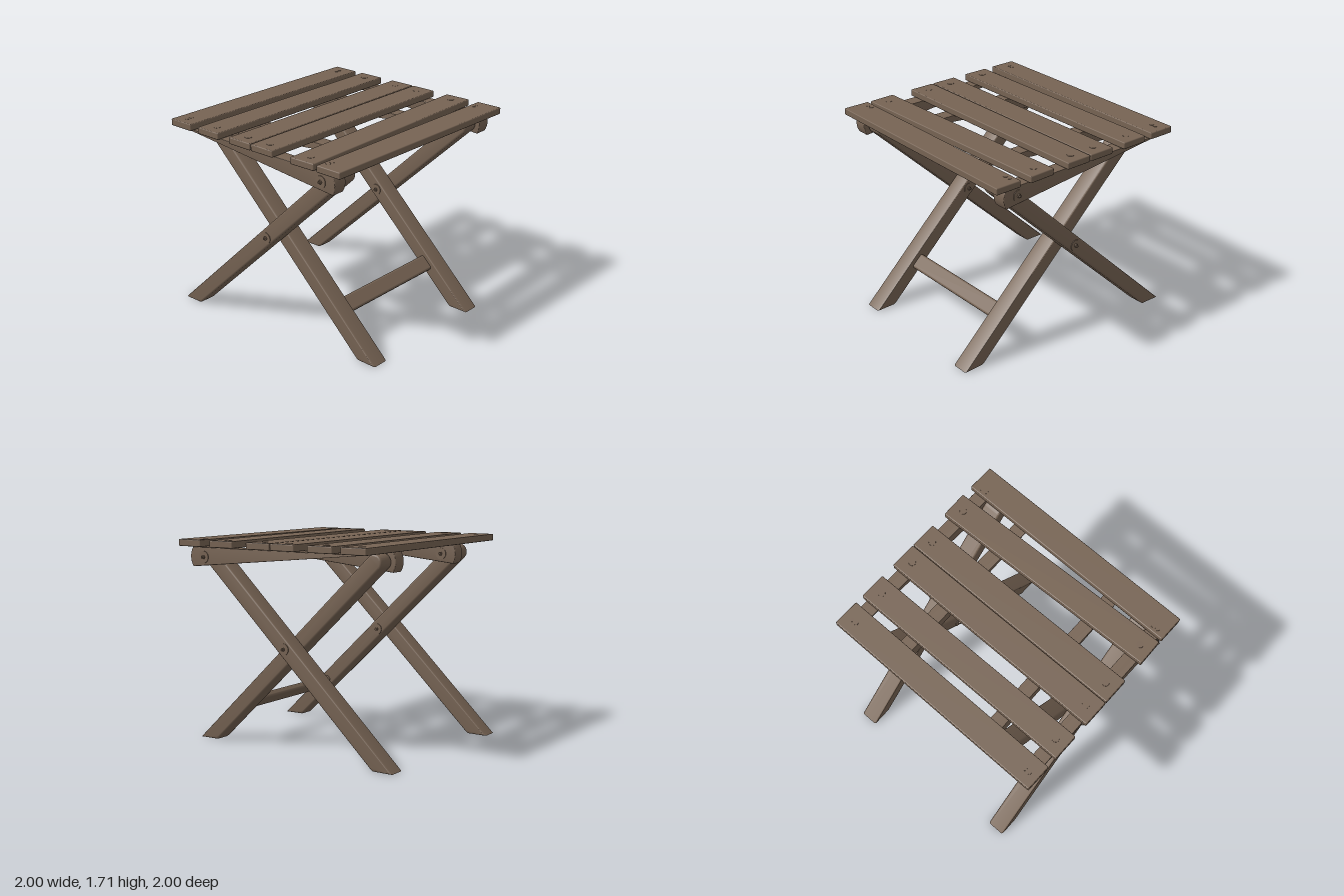
import * as THREE from 'three';
import { toCreasedNormals } from 'three/addons/utils/BufferGeometryUtils.js';
import { RoundedBoxGeometry } from 'three/addons/geometries/RoundedBoxGeometry.js';

const wood = new THREE.MeshStandardMaterial({ color: 0x766353 });
wood.name = 'brown wood';

// Side profile drawn in (z, y), extruded along x with softened edges
function extrudeSide(shape, width, bevel) {
  const geo = new THREE.ExtrudeGeometry(shape, {
    depth: width - 2 * bevel, bevelEnabled: true, bevelSize: bevel, bevelThickness: bevel,
    bevelOffset: -bevel, bevelSegments: 3, curveSegments: 16,
  });
  geo.translate(0, 0, bevel - width / 2);
  geo.rotateY(-Math.PI / 2);
  return toCreasedNormals(geo, 0.6);
}

function add(parent, name, geo, x = 0, y = 0, z = 0) {
  const mesh = new THREE.Mesh(geo, wood);
  mesh.name = name;
  mesh.position.set(x, y, z);
  parent.add(mesh);
  return mesh;
}

// Leg: leaning bar cut flat at the floor and rounded at the top
const SLOPE = 0.955, CROSS_Y = 0.87;
const LEAN = Math.atan(SLOPE);
function legGeometry() {
  const r = 0.067, topZ = 0.735, topY = CROSS_Y + topZ * SLOPE;
  const half = r / Math.sin(LEAN), footZ = -CROSS_Y / SLOPE;
  const s = new THREE.Shape();
  s.moveTo(footZ - half + 0.006, 0.004);
  s.lineTo(footZ + half - 0.014, 0.004);
  s.lineTo(footZ + half + 0.008, 0.021);
  s.absarc(topZ, topY, r, LEAN - Math.PI / 2, LEAN + Math.PI / 2, false);
  s.closePath();
  return extrudeSide(s, 0.154, 0.016);
}

// Seat rail: square at one end, bowed around the pivot at the other
const PIVOT_Z = 0.7, PIVOT_Y = 1.57;
function railGeometry() {
  const h = 0.08, r = 0.138, a = Math.asin(h / r);
  const s = new THREE.Shape();
  s.moveTo(-0.825, PIVOT_Y - h);
  s.absarc(PIVOT_Z, PIVOT_Y, r, -a, a, false);
  s.lineTo(-0.825, PIVOT_Y + h);
  s.closePath();
  return extrudeSide(s, 0.118, 0.006);
}

// Pivot bolt: thin washer and small hub, facing along x
function addBolt(parent, x, y, z, dir) {
  const bolt = new THREE.Group();
  bolt.name = 'pivotBolt';
  add(bolt, 'washer', new THREE.CylinderGeometry(0.048, 0.048, 0.006, 24), 0, 0.002, 0);
  add(bolt, 'nut', new THREE.CylinderGeometry(0.016, 0.016, 0.014, 6), 0, 0.01, 0);
  add(bolt, 'boltEnd', new THREE.CylinderGeometry(0.008, 0.008, 0.028, 10), 0, 0.014, 0);
  bolt.rotation.z = -dir * Math.PI / 2;
  bolt.position.set(x, y, z);
  parent.add(bolt);
}

export function createModel() {
  const stool = new THREE.Group();
  stool.name = 'foldingStool';
  const leg = legGeometry(), rail = railGeometry();

  // Crossed legs, rails and bolts on both sides
  for (const s of [-1, 1]) {
    add(stool, 'outerLeg', leg, s * 0.761);
    add(stool, 'innerLeg', leg, s * 0.606).rotation.y = Math.PI;
    add(stool, 'outerRail', rail, s * 0.898);
    add(stool, 'innerRail', rail, s * 0.469).rotation.y = Math.PI;
    addBolt(stool, s * 0.957, PIVOT_Y, PIVOT_Z, s);
    addBolt(stool, s * 0.41, PIVOT_Y, -PIVOT_Z, -s);
    addBolt(stool, s * 0.838, CROSS_Y - 0.003, 0, s);
    addBolt(stool, s * 0.529, CROSS_Y - 0.003, 0, -s);
  }

  // Stretcher between the inner legs, tilted with them
  const barY = 0.335;
  const bar = add(stool, 'stretcher', new RoundedBoxGeometry(1.08, 0.055, 0.137, 3, 0.018),
    0, barY, (CROSS_Y - barY) / SLOPE);
  bar.rotation.x = LEAN;

  // Seat slats, some slightly askew: centre z, yaw, paired screws or a single plug
  const slats = [
    [-0.762, -0.008, true], [-0.456, -0.001, false], [-0.104, -0.001, false],
    [0.131, 0, false], [0.522, 0.025, false], [0.812, -0.008, true],
  ];
  const plug = new THREE.CylinderGeometry(0.028, 0.03, 0.008, 20);
  const screw = new THREE.CylinderGeometry(0.018, 0.019, 0.008, 16);
  for (const [z, yaw, paired] of slats) {
    const slat = new THREE.Group();
    slat.name = 'seatSlat';
    add(slat, 'board', new RoundedBoxGeometry(1.992, 0.056, 0.228, 2, 0.008));
    for (const s of [-1, 1]) {
      if (paired) {
        const dz = z < 0 ? -0.013 : -0.068;
        for (const x of [0.873, 0.915]) add(slat, 'screwHead', screw, s * x, 0.026, dz);
      } else {
        add(slat, 'plug', plug, s * 0.895, 0.026, -s * Math.sin(yaw) * 0.05);
      }
    }
    slat.position.set(-0.002, 1.68, z);
    slat.rotation.y = yaw;
    stool.add(slat);
  }
  return stool;
}
